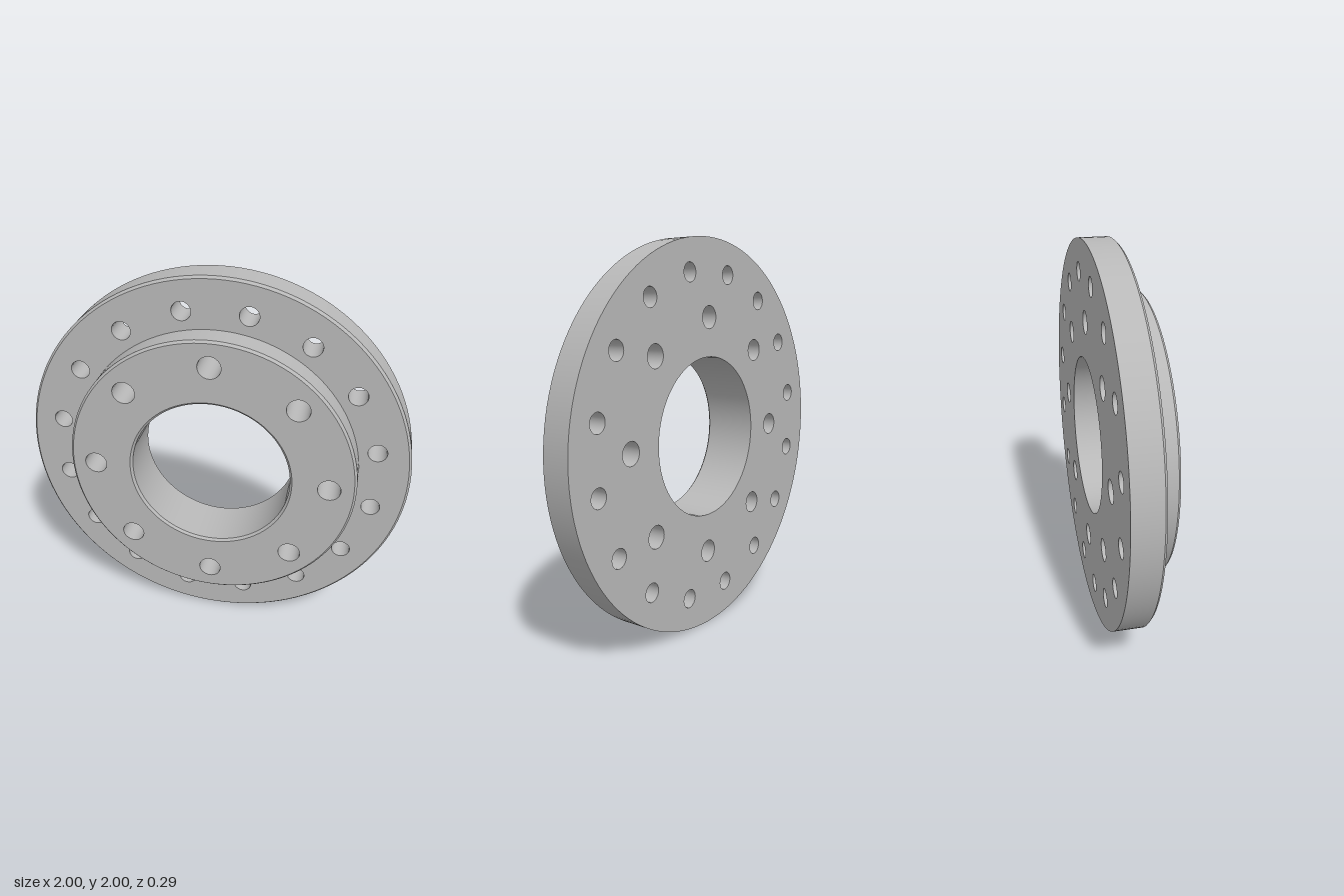
import * as THREE from 'three';

const SEG = 128, HOLE_SEG = 32;
const BACK = -0.148, STEP = 0.01, FRONT = 0.143; // depths of the three flat faces
const CH = 0.012; // edge chamfer
const R_FLANGE = 1, R_BOSS = 0.742, R_BORE = 0.41;

// Hole patterns: [x, y, radius]
const holeCircle = (count, pitch, radius, start) =>
  Array.from({ length: count }, (_, i) => {
    const a = start + (i / count) * Math.PI * 2;
    return [pitch * Math.cos(a), pitch * Math.sin(a), radius];
  });
const flangeHoles = holeCircle(16, 0.838, 0.048, Math.PI / 16);
const bossHoles = holeCircle(8, 0.608, 0.058, 0);

const circle = (x, y, r, n) =>
  Array.from({ length: n }, (_, i) => {
    const a = (i / n) * Math.PI * 2;
    return new THREE.Vector2(x + r * Math.cos(a), y + r * Math.sin(a));
  });

export function createModel() {
  const steel = new THREE.MeshStandardMaterial({ color: 0xb8b8b8 });
  steel.name = 'grey steel';
  const disc = new THREE.Group();
  disc.name = 'steppedFlange';
  disc.position.y = 1;

  const add = (name, geometry, parent = disc) => {
    const mesh = new THREE.Mesh(geometry, steel);
    mesh.name = name;
    parent.add(mesh);
    return mesh;
  };

  // Wall turned about z: faces outward when z rises, inward when z falls
  const wall = (r1, z1, r2, z2, n = SEG) =>
    new THREE.LatheGeometry([new THREE.Vector2(r1, z1), new THREE.Vector2(r2, z2)], n).rotateX(Math.PI / 2);

  // Flat ring pierced by holes
  const face = (outer, inner, holes, z, backward = false) => {
    const shape = new THREE.Shape(circle(0, 0, outer, SEG));
    shape.holes.push(new THREE.Path(circle(0, 0, inner, SEG)));
    for (const [x, y, r] of holes) shape.holes.push(new THREE.Path(circle(x, y, r, HOLE_SEG)));
    const g = new THREE.ShapeGeometry(shape);
    if (backward) g.rotateY(Math.PI);
    return g.translate(0, 0, z);
  };

  // Flange
  add('flangeBackFace', face(R_FLANGE, R_BORE, [...flangeHoles, ...bossHoles], BACK, true));
  add('flangeRim', wall(R_FLANGE, BACK, R_FLANGE, STEP - CH));
  add('flangeChamfer', wall(R_FLANGE, STEP - CH, R_FLANGE - CH, STEP));
  add('flangeFrontFace', face(R_FLANGE - CH, R_BOSS, flangeHoles, STEP));

  // Raised boss
  add('bossRim', wall(R_BOSS, STEP, R_BOSS, FRONT - CH));
  add('bossChamfer', wall(R_BOSS, FRONT - CH, R_BOSS - CH, FRONT));
  add('bossFrontFace', face(R_BOSS - CH, R_BORE + CH, bossHoles, FRONT));

  // Central bore
  add('boreChamfer', wall(R_BORE + CH, FRONT, R_BORE, FRONT - CH));
  add('boreWall', wall(R_BORE, FRONT - CH, R_BORE, BACK));

  // Bolt hole walls
  const drill = (name, holes, top) => {
    const set = new THREE.Group();
    set.name = name + 's';
    for (const [x, y, r] of holes) add(name, wall(r, top, r, BACK, HOLE_SEG), set).position.set(x, y, 0);
    disc.add(set);
  };
  drill('flangeBoltHole', flangeHoles, STEP);
  drill('bossBoltHole', bossHoles, FRONT);

  const model = new THREE.Group();
  model.name = 'flangeModel';
  model.add(disc);
  return model;
}
